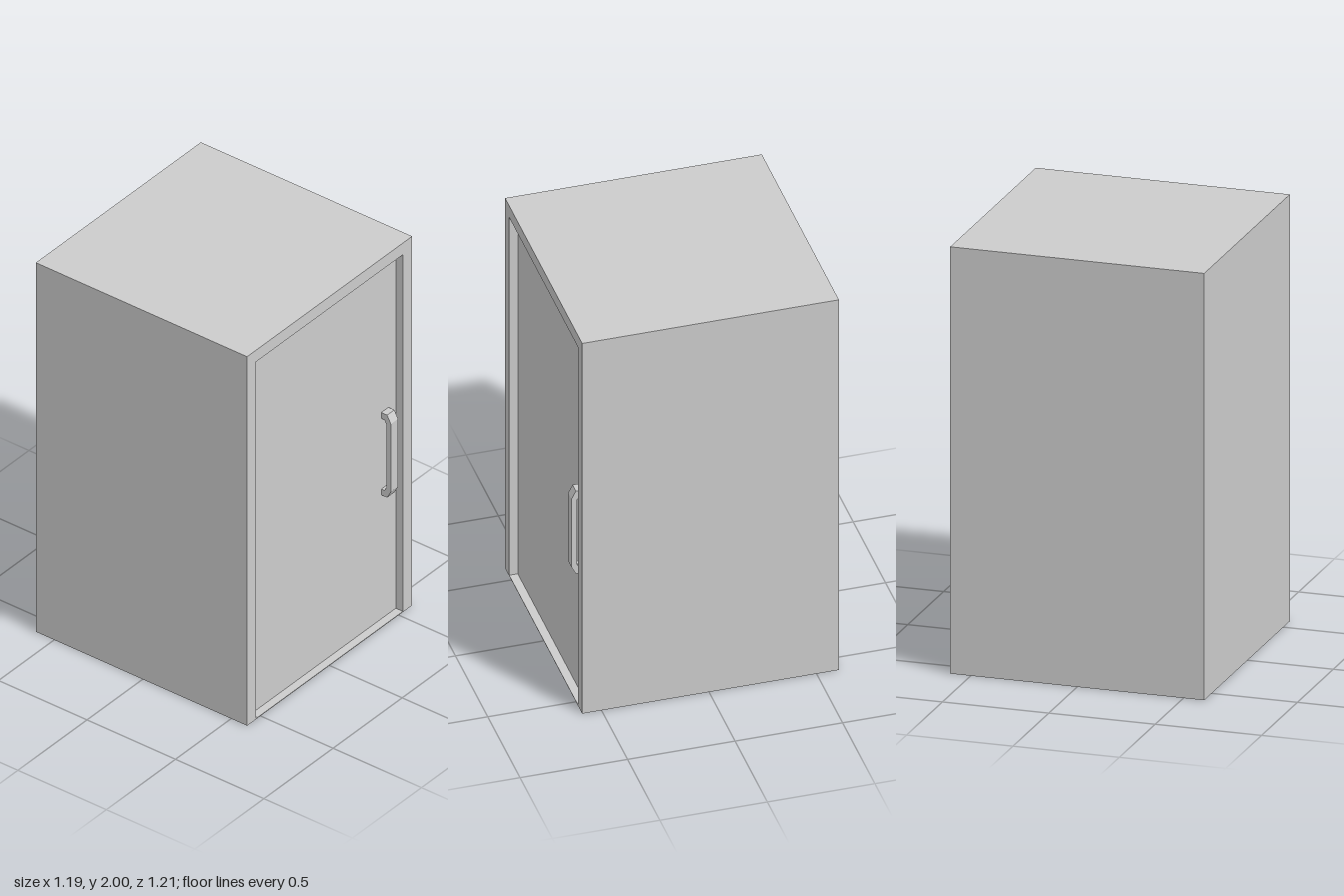
import * as THREE from 'three';

const HALF_W = 0.597, BACK = -0.604, FRONT = 0.59, DOOR_Z = 0.55, H = 2;

function polygon(points) {
  return new THREE.Shape(points.map(([x, y]) => new THREE.Vector2(x, y)));
}

export function createModel() {
  const group = new THREE.Group();
  const material = new THREE.MeshStandardMaterial({ color: 0xcccccc, flatShading: true });
  const add = (name, geometry) => {
    const mesh = new THREE.Mesh(geometry, material);
    mesh.name = name;
    group.add(mesh);
    return mesh;
  };

  // Cabinet shell: one outline with a door opening, run the full depth
  const shell = polygon([[-HALF_W, 0], [HALF_W, 0], [HALF_W, H], [-HALF_W, H]]);
  const opening = polygon([[-0.533, 0.004], [-0.533, 1.937], [0.53, 1.937], [0.53, 0.004]]);
  shell.holes.push(opening);
  add('cabinet', new THREE.ExtrudeGeometry(shell, { depth: FRONT - BACK, bevelEnabled: false }))
    .position.z = BACK;

  // Back panel closes the shell
  add('backPanel', new THREE.ShapeGeometry(opening.clone()).rotateY(Math.PI).scale(1, 1, 1))
    .position.set(-0.003, 0, BACK);

  // Door set back inside the opening
  const door = add('door', new THREE.BoxGeometry(1.063, 1.933, 0.04));
  door.position.set(-0.0015, 0.9705, DOOR_Z - 0.02);

  // Pull handle: chamfered bracket, drawn as (distance from door, height)
  const handle = polygon([
    [0, 0.675], [0.033, 0.675], [0.054, 0.715], [0.054, 1.082], [0.033, 1.122], [0, 1.122],
    [0, 1.09], [0.018, 1.09], [0.028, 1.072], [0.028, 0.725], [0.018, 0.707], [0, 0.707],
  ]);
  const handleGeometry = new THREE.ExtrudeGeometry(handle, { depth: 0.052, bevelEnabled: false });
  handleGeometry.rotateY(-Math.PI / 2); // profile x -> +z, extrusion -> -x
  add('handle', handleGeometry).position.set(0.477, 0, DOOR_Z);

  return group;
}
